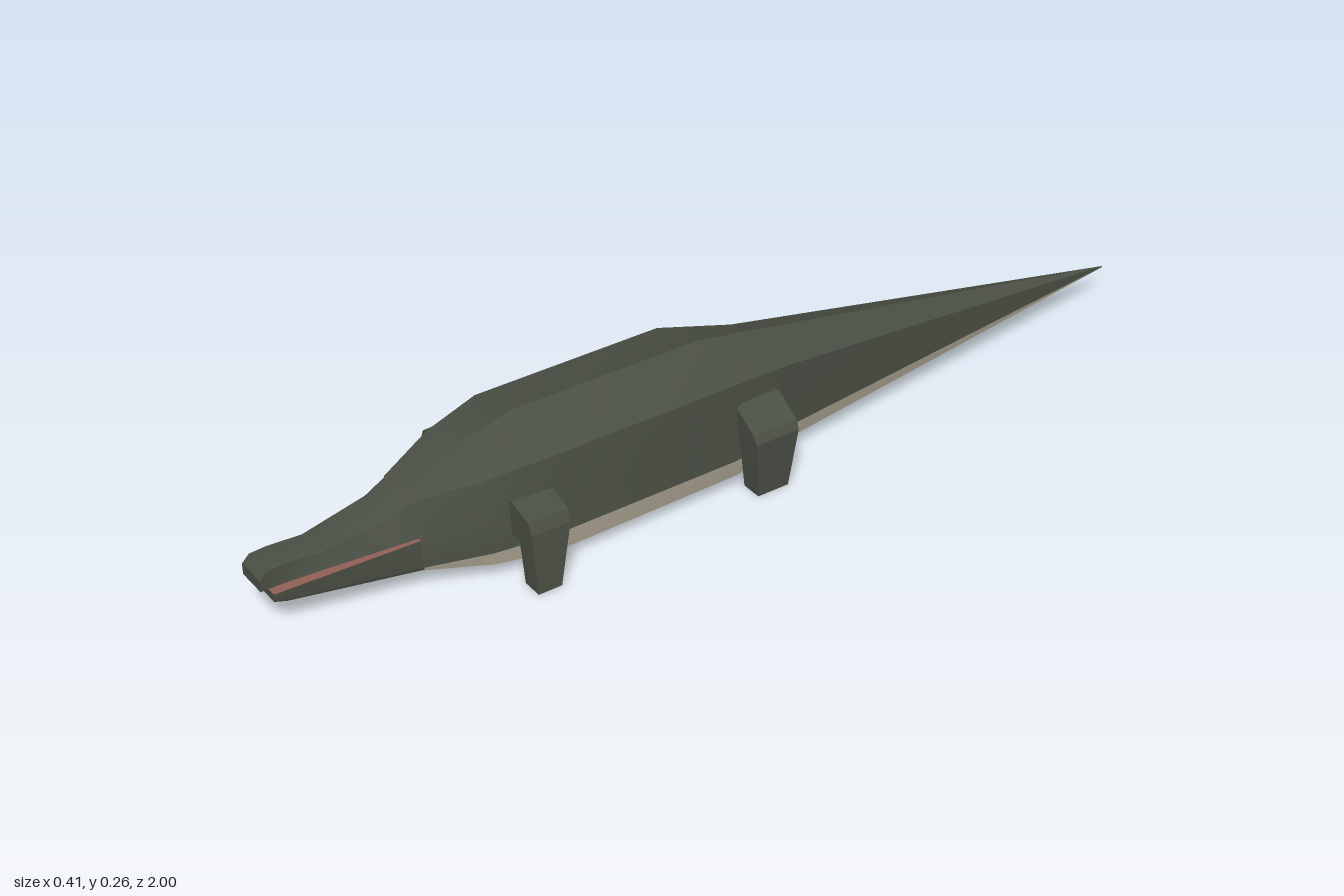
import * as THREE from 'three';
import { toCreasedNormals } from 'three/addons/utils/BufferGeometryUtils.js';

const HIDE = 0, BELLY = 1, MOUTH = 2;

// Skin a row of mirrored cross-sections, ordered by rising z.
// Each section is [z, ...half outline from top centre to bottom centre];
// bands gives the colour of each step of the half outline.
function loft(sections, bands, capColour) {
  const n = bands.length, count = 2 * n;
  const rings = sections.map(([z, ...half]) => {
    const right = half.map(([x, y]) => new THREE.Vector3(x, y, z));
    const left = half.slice(1, -1).reverse().map(([x, y]) => new THREE.Vector3(-x, y, z));
    return right.concat(left);
  });
  const buckets = [[], [], []];
  const tri = (colour, a, b, c) => {
    const area = b.clone().sub(a).cross(c.clone().sub(a)).length();
    if (area > 1e-8) for (const p of [a, b, c]) buckets[colour].push(p.x, p.y, p.z);
  };
  for (let i = 0; i < rings.length - 1; i++) {
    for (let j = 0; j < count; j++) {
      const k = (j + 1) % count, colour = bands[j < n ? j : count - 1 - j];
      const a = rings[i][j], b = rings[i][k], c = rings[i + 1][k], d = rings[i + 1][j];
      tri(colour, a, d, c);
      tri(colour, a, c, b);
    }
  }
  const back = rings[0], front = rings[rings.length - 1];
  for (let j = 1; j < count - 1; j++) {
    tri(capColour, back[0], back[j], back[j + 1]);
    tri(capColour, front[0], front[j + 1], front[j]);
  }
  const geo = new THREE.BufferGeometry();
  geo.setAttribute('position', new THREE.Float32BufferAttribute(buckets.flat(), 3));
  let start = 0;
  buckets.forEach((list, m) => {
    if (list.length) geo.addGroup(start, list.length / 3, m);
    start += list.length / 3;
  });
  return toCreasedNormals(geo, 0.45);
}

// Bent leg: a front-on outline given depth, narrowing in z towards the foot
function legGeometry(side, outline, topZ, footZ) {
  const shape = new THREE.Shape(outline.map(([x, y]) => new THREE.Vector2(x * side, y)));
  const geo = new THREE.ExtrudeGeometry(shape, { depth: 1, bevelEnabled: false });
  const p = geo.attributes.position;
  for (let i = 0; i < p.count; i++) {
    const t = Math.min(1, p.getY(i) / 0.13), u = p.getZ(i);
    const near = THREE.MathUtils.lerp(footZ[0], topZ[0], t);
    const far = THREE.MathUtils.lerp(footZ[1], topZ[1], t);
    p.setZ(i, THREE.MathUtils.lerp(near, far, u));
  }
  geo.computeVertexNormals();
  return geo;
}

export function createModel() {
  const model = new THREE.Group();
  model.name = 'crocodile';
  const material = (name, color) => {
    const m = new THREE.MeshStandardMaterial({ color });
    m.name = name;
    return m;
  };
  const mats = [
    material('olive hide', 0x4b5045),
    material('pale belly', 0xa09a88),
    material('pink mouth', 0x905f55),
  ];
  const add = (name, geo, mat) => {
    const mesh = new THREE.Mesh(geo, mat);
    mesh.name = name;
    model.add(mesh);
  };

  // Trunk and tail: ridge, back edge, cheek, belly line, bottom edge, bottom centre
  add('body', loft([
    [-1, [0, 0.066], [0, 0.066], [0, 0.065], [0, 0.064], [0, 0.063], [0, 0.063]],
    [-0.1, [0, 0.231], [0.092, 0.195], [0.101, 0.1], [0.103, 0.063], [0.104, 0.037], [0, 0.037]],
    [0.05, [0, 0.257], [0.127, 0.223], [0.135, 0.11], [0.14, 0.062], [0.143, 0.032], [0, 0.032]],
    [0.46, [0, 0.257], [0.127, 0.223], [0.137, 0.11], [0.142, 0.062], [0.146, 0.028], [0, 0.028]],
    [0.58, [0, 0.226], [0.1, 0.205], [0.118, 0.11], [0.124, 0.06], [0.125, 0.036], [0, 0.036]],
    [0.7, [0, 0.187], [0.05, 0.18], [0.073, 0.11], [0.08, 0.053], [0.078, 0.046], [0, 0.046]],
  ], [HIDE, HIDE, HIDE, BELLY, BELLY], MOUTH), mats);

  // Upper jaw with raised nostril bump, pink palate underneath
  add('upperJaw', loft([
    [0.695, [0, 0.187], [0.05, 0.18], [0.073, 0.114], [0, 0.114]],
    [0.745, [0, 0.165], [0.043, 0.159], [0.066, 0.112], [0, 0.112]],
    [0.88, [0, 0.138], [0.034, 0.135], [0.046, 0.106], [0, 0.106]],
    [0.95, [0, 0.143], [0.033, 0.14], [0.037, 0.103], [0, 0.103]],
    [0.985, [0, 0.14], [0.033, 0.138], [0.034, 0.101], [0, 0.101]],
    [1, [0, 0.125], [0.033, 0.123], [0.033, 0.1], [0, 0.1]],
  ], [HIDE, HIDE, MOUTH], HIDE), mats);

  // Lower jaw with pink floor
  add('lowerJaw', loft([
    [0.695, [0, 0.108], [0.073, 0.108], [0.08, 0.053], [0.078, 0.046], [0, 0.046]],
    [0.95, [0, 0.085], [0.035, 0.085], [0.034, 0.064], [0.032, 0.059], [0, 0.059]],
    [0.975, [0, 0.083], [0.032, 0.083], [0.031, 0.07], [0.03, 0.066], [0, 0.066]],
  ], [MOUTH, HIDE, HIDE, BELLY], HIDE), mats);

  // Legs
  const frontOutline = [[0.09, 0.155], [0.13, 0.16], [0.185, 0.145], [0.195, 0.122],
    [0.207, 0], [0.163, 0], [0.15, 0.09], [0.09, 0.085]];
  const rearOutline = [[0.09, 0.165], [0.125, 0.176], [0.184, 0.14], [0.193, 0.122],
    [0.187, 0], [0.142, 0], [0.138, 0.09], [0.09, 0.085]];
  for (const [side, label] of [[1, 'left'], [-1, 'right']]) {
    add(label + 'FrontLeg', legGeometry(side, frontOutline, [0.458, 0.542], [0.49, 0.54]), mats[HIDE]);
    add(label + 'RearLeg', legGeometry(side, rearOutline, [-0.055, 0.045], [-0.035, 0.035]), mats[HIDE]);
  }
  return model;
}
